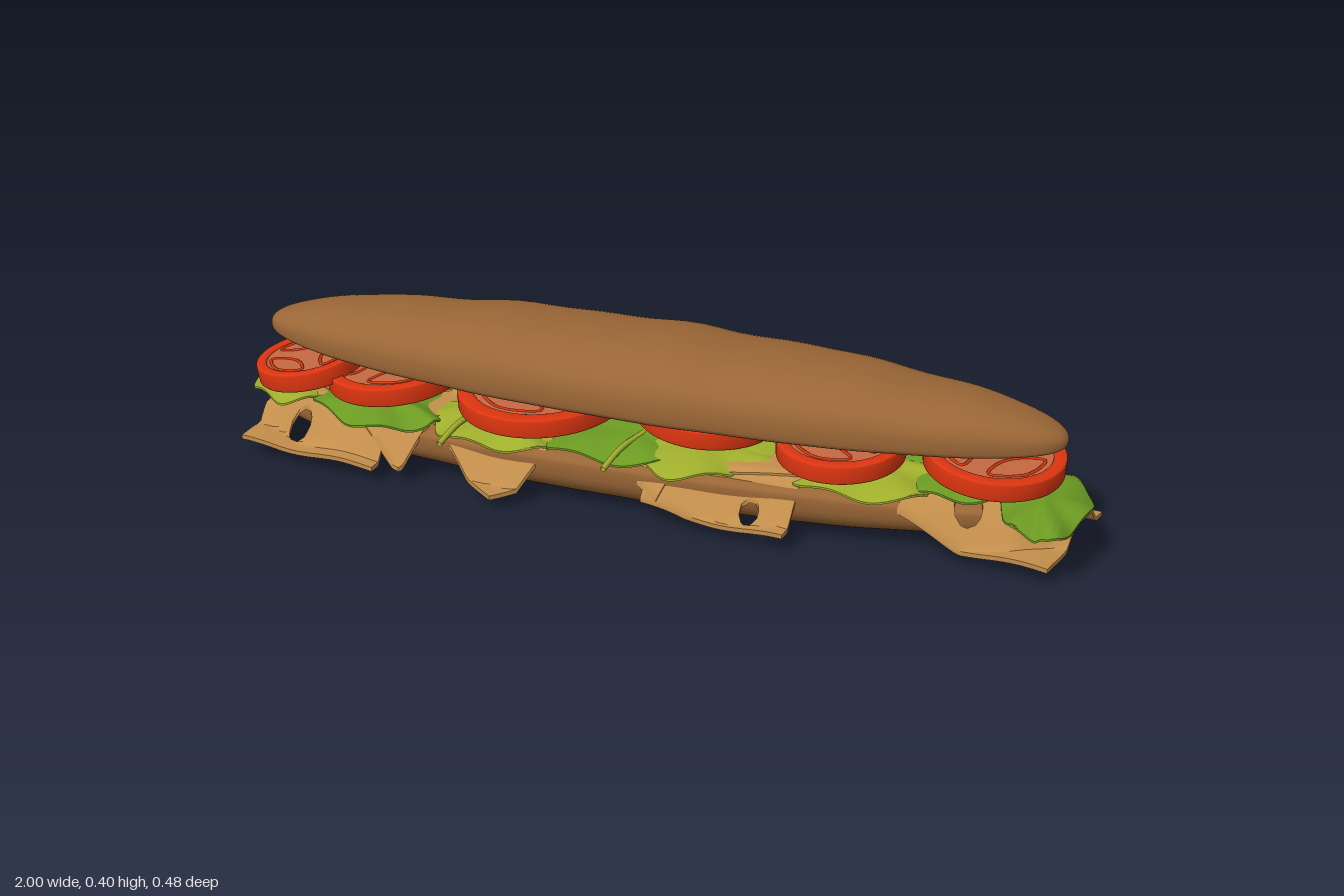
import * as THREE from 'three';
import { toCreasedNormals } from 'three/addons/utils/BufferGeometryUtils.js';

const mat = (color, side = THREE.FrontSide) => new THREE.MeshStandardMaterial({ color, roughness: 0.8, side });
const CRUST = mat(0x9a6636);
const CHEESE = mat(0xc48f4c, THREE.DoubleSide);
const SKIN = mat(0xdc3510);
const FLESH = mat(0xc66a42);
const GREEN = mat(0x6c9a22, THREE.DoubleSide);
const LIME = mat(0x9fae2c, THREE.DoubleSide);

function geometryFrom(points, index) {
  const g = new THREE.BufferGeometry();
  g.setAttribute('position', new THREE.Float32BufferAttribute(points, 3));
  g.setIndex(index);
  return g;
}

// Half loaf: rings along x, domed on one side (dir = 1 up, -1 down) and nearly flat on the other
function bunHalf({ x0, x1, width, dome, flat, midY, dir, midZ, lump }) {
  const N = 72, M = 48, pts = [], idx = [];
  for (let i = 0; i <= N; i++) {
    const u = -Math.cos(Math.PI * i / N);
    const x = (x0 + x1) / 2 + u * (x1 - x0) / 2;
    const s = Math.pow(Math.max(0, 1 - u * u), 0.47);
    const bump = lump * (Math.sin(x * 17 + 1) + 0.7 * Math.sin(x * 29)) * s;
    for (let j = 0; j < M; j++) {
      const a = 2 * Math.PI * j / M, c = Math.cos(a), sn = Math.sin(a);
      const domed = sn * dir > 0;
      const p = domed ? 0.85 : 0.5;
      const z = Math.sign(c) * Math.pow(Math.abs(c), p) * width * s;
      const h = Math.sign(sn) * Math.pow(Math.abs(sn), p) * (domed ? dome * s + bump : flat * Math.pow(s, 0.6));
      pts.push(x, midY(u) + h, midZ + z + bump * 0.4 * c);
    }
  }
  for (let i = 0; i < N; i++) for (let j = 0; j < M; j++) {
    const k = (j + 1) % M, a = i * M + j, b = a + M, c = i * M + k, d = c + M;
    idx.push(a, b, c, b, d, c);
  }
  const g = geometryFrom(pts, idx);
  g.computeVertexNormals();
  return g;
}

// Thick bent sheet over u, v in -1..1; holes are [u, v, radius] and all open edges get walls
function sheet(map, thickness, holes = [], N = 28) {
  const pts = [], inside = [], top = [], n = (N + 1) * (N + 1);
  for (const lift of [thickness, 0]) {
    for (let i = 0; i <= N; i++) for (let j = 0; j <= N; j++) {
      let u = 2 * i / N - 1, v = 2 * j / N - 1, hit = 0;
      holes.forEach(([hu, hv, r], k) => {
        const d = Math.hypot(u - hu, v - hv);
        if (d < r) {
          const a = Math.atan2(v - hv, u - hu);
          u = hu + r * Math.cos(a); v = hv + r * Math.sin(a); hit = k + 1;
        }
      });
      inside.push(hit);
      const [x, y, z] = map(u, v);
      pts.push(x, y + lift, z);
    }
  }
  for (let i = 0; i < N; i++) for (let j = 0; j < N; j++) {
    const a = i * (N + 1) + j, b = a + 1, c = a + N + 1, d = c + 1;
    if (inside[a] && inside[b] && inside[c] && inside[d]) continue;
    top.push(a, b, c, b, d, c);
  }
  const idx = [...top], edges = new Set();
  for (let t = 0; t < top.length; t += 3) {
    idx.push(top[t] + n, top[t + 2] + n, top[t + 1] + n);
    for (let e = 0; e < 3; e++) edges.add(top[t + e] * n + top[t + (e + 1) % 3]);
  }
  for (const e of edges) {
    const a = Math.floor(e / n), b = e % n;
    if (!edges.has(b * n + a)) idx.push(b, a, a + n, b, a + n, b + n);
  }
  return toCreasedNormals(geometryFrom(pts, idx), 0.7);
}

// Cheese square, folding down where it passes the edge of the bread
function cheeseSlice(cx, cz, rot, half, y, holes) {
  const c = Math.cos(rot), s = Math.sin(rot);
  return sheet((u, v) => {
    const x = cx + half * (u * c - v * s);
    let z = cz + half * (u * s + v * c);
    const edge = 0.125 * Math.sqrt(Math.max(0.12, 1 - (x / 0.97) ** 2));
    const over = Math.max(0, Math.abs(z) - edge);
    z = Math.sign(z) * (Math.abs(z) - over * 0.22);
    const tip = Math.max(0, Math.abs(x) - 0.84);
    const drop = Math.min(0.1, over * over * 5 / (over + 0.03) * 0.2 + over * 0.35 + tip * 0.45);
    return [x, y - drop + 0.005 * Math.sin(x * 24) * Math.min(1, over * 12), z];
  }, 0.011, holes);
}

// Rounded leaf with a ruffled, drooping rim
function leaf(cx, cz, rx, rz, rot, y, phase) {
  const c = Math.cos(rot), s = Math.sin(rot);
  return sheet((u, v) => {
    const p = u * Math.sqrt(1 - v * v / 2), q = v * Math.sqrt(1 - u * u / 2);
    const r = Math.hypot(p, q), a = Math.atan2(q, p);
    const k = 1 + 0.06 * r * Math.sin(a * 5 + phase);
    const lx = p * rx * k, lz = q * rz * k * (1 - 0.2 * p);
    const ruffle = 0.009 * r * r * Math.sin(a * 6 + phase) - 0.022 * r * r * r;
    const rib = 0.006 * Math.exp(-((q * 9) ** 2));
    return [cx + lx * c - lz * s, y + ruffle + rib, cz + lx * s + lz * c];
  }, 0.005, [], 22);
}

// Tomato slice: skin ring, sunken flesh and outlined seed pockets on both faces
function tomatoSlice(r) {
  const g = new THREE.Group(), depth = 0.036, bevel = 0.005;
  const ring = new THREE.Shape().absarc(0, 0, r - bevel, 0, Math.PI * 2);
  ring.holes.push(new THREE.Path().absarc(0, 0, r * 0.84, 0, Math.PI * 2, true));
  const rim = new THREE.ExtrudeGeometry(ring, {
    depth, bevelThickness: bevel, bevelSize: bevel, bevelSegments: 3, curveSegments: 40,
  });
  rim.translate(0, 0, -depth / 2).rotateX(-Math.PI / 2);
  const skin = new THREE.Mesh(toCreasedNormals(rim, 0.6), SKIN);
  skin.name = 'tomatoSkin';
  const flesh = new THREE.Mesh(new THREE.CylinderGeometry(r * 0.85, r * 0.85, depth, 40), FLESH);
  flesh.name = 'tomatoFlesh';
  g.add(skin, flesh);
  for (const side of [1, -1]) for (let k = 0; k < 3; k++) {
    const corners = [[0.7, -0.75], [0.74, 0], [0.7, 0.75], [0.42, 0.6], [0.3, 0], [0.42, -0.6]];
    const path = new THREE.CatmullRomCurve3(corners.map(([d, a]) => {
      const t = a + k * Math.PI * 2 / 3;
      return new THREE.Vector3(d * r * Math.cos(t), side * depth / 2, d * r * Math.sin(t));
    }), true);
    const pocket = new THREE.Mesh(new THREE.TubeGeometry(path, 36, 0.004, 6, true), SKIN);
    pocket.name = 'seedPocket';
    g.add(pocket);
  }
  return g;
}

export function createModel() {
  const model = new THREE.Group();
  const add = (name, geometry, material) => {
    const m = new THREE.Mesh(geometry, material);
    m.name = name;
    model.add(m);
    return m;
  };

  // Bread
  add('topBun', bunHalf({
    x0: -0.95, x1: 0.925, width: 0.173, dome: 0.115, flat: 0.042, dir: 1, midZ: 0.01, lump: 0.003,
    midY: u => 0.282 - 0.012 * u + 0.004 * u * u,
  }), CRUST);
  add('bottomBun', bunHalf({
    x0: -0.95, x1: 0.95, width: 0.165, dome: 0.1, flat: 0.037, dir: -1, midZ: 0, lump: 0.001,
    midY: u => 0.101 - 0.008 * u * u,
  }), CRUST);

  // Cheese: centre x, centre z, turn, half side, height, holes
  [
    [-0.79, 0.03, 0.12, 0.175, 0.138, [[-0.3, 0.55, 0.17], [0.5, -0.5, 0.2]]],
    [-0.62, -0.02, 0.6, 0.16, 0.142, [[0.3, -0.4, 0.18]]],
    [-0.35, 0.02, 0.72, 0.175, 0.138, [[0.4, 0.5, 0.17], [-0.4, -0.5, 0.2]]],
    [-0.02, -0.02, 0.5, 0.165, 0.142, [[-0.3, -0.6, 0.18], [0.5, 0.1, 0.15]]],
    [0.2, 0.055, 0.14, 0.17, 0.138, [[0.45, 0.75, 0.13], [-0.4, 0.2, 0.2]]],
    [0.34, -0.045, -0.12, 0.165, 0.143, [[0.2, -0.65, 0.17]]],
    [0.79, 0.01, 0.22, 0.175, 0.138, [[-0.2, 0.62, 0.18], [0.5, -0.5, 0.2]]],
  ].forEach(a => add('cheeseSlice', cheeseSlice(...a), CHEESE));

  // Lettuce: centre x, centre z, radii, turn, height, ruffle phase, colour
  [
    [-0.88, -0.02, 0.12, 0.13, 0, 0.158, 0.5, LIME],
    [-0.66, 0.05, 0.17, 0.13, 0.5, 0.163, 2, GREEN],
    [-0.38, -0.08, 0.17, 0.12, -1.2, 0.166, 1, LIME],
    [-0.36, 0.07, 0.17, 0.12, 0.3, 0.162, 4, LIME],
    [-0.08, 0.03, 0.2, 0.15, 0.2, 0.164, 3, GREEN],
    [0.12, 0.06, 0.17, 0.12, -0.2, 0.161, 5, LIME],
    [0.2, -0.05, 0.2, 0.13, 0.1, 0.166, 0, LIME],
    [0.5, 0.02, 0.19, 0.15, 0.1, 0.162, 2.5, LIME],
    [0.7, -0.03, 0.17, 0.14, -0.2, 0.165, 1.5, GREEN],
    [0.89, 0.065, 0.155, 0.1, 1.45, 0.156, 3.5, GREEN],
  ].forEach(a => add('lettuceLeaf', leaf(...a.slice(0, 7)), a[7]));

  // Loose lettuce stalks poking out at the front
  for (const x of [-0.45, -0.06]) {
    const curve = new THREE.CatmullRomCurve3([
      new THREE.Vector3(x + 0.04, 0.165, 0.05),
      new THREE.Vector3(x + 0.01, 0.165, 0.14),
      new THREE.Vector3(x - 0.01, 0.145, 0.21),
    ]);
    add('lettuceStalk', new THREE.TubeGeometry(curve, 12, 0.007, 8), LIME);
  }

  // Tomato: centre x, y, z, radius, tilt along the length
  [
    [-0.85, 0.212, 0.035, 0.125, 0.17],
    [-0.65, 0.206, 0, 0.16, 0.09],
    [-0.285, 0.204, 0, 0.196, 0.05],
    [0.1, 0.197, -0.055, 0.17, -0.04],
    [0.43, 0.2, 0.04, 0.145, 0.03],
    [0.765, 0.196, -0.01, 0.157, -0.05],
  ].forEach(([x, y, z, r, tilt], i) => {
    const slice = tomatoSlice(r);
    slice.name = 'tomatoSlice';
    slice.position.set(x, y, z);
    slice.rotation.set(0, i * 1.1, tilt, 'ZYX');
    model.add(slice);
  });

  return model;
}
